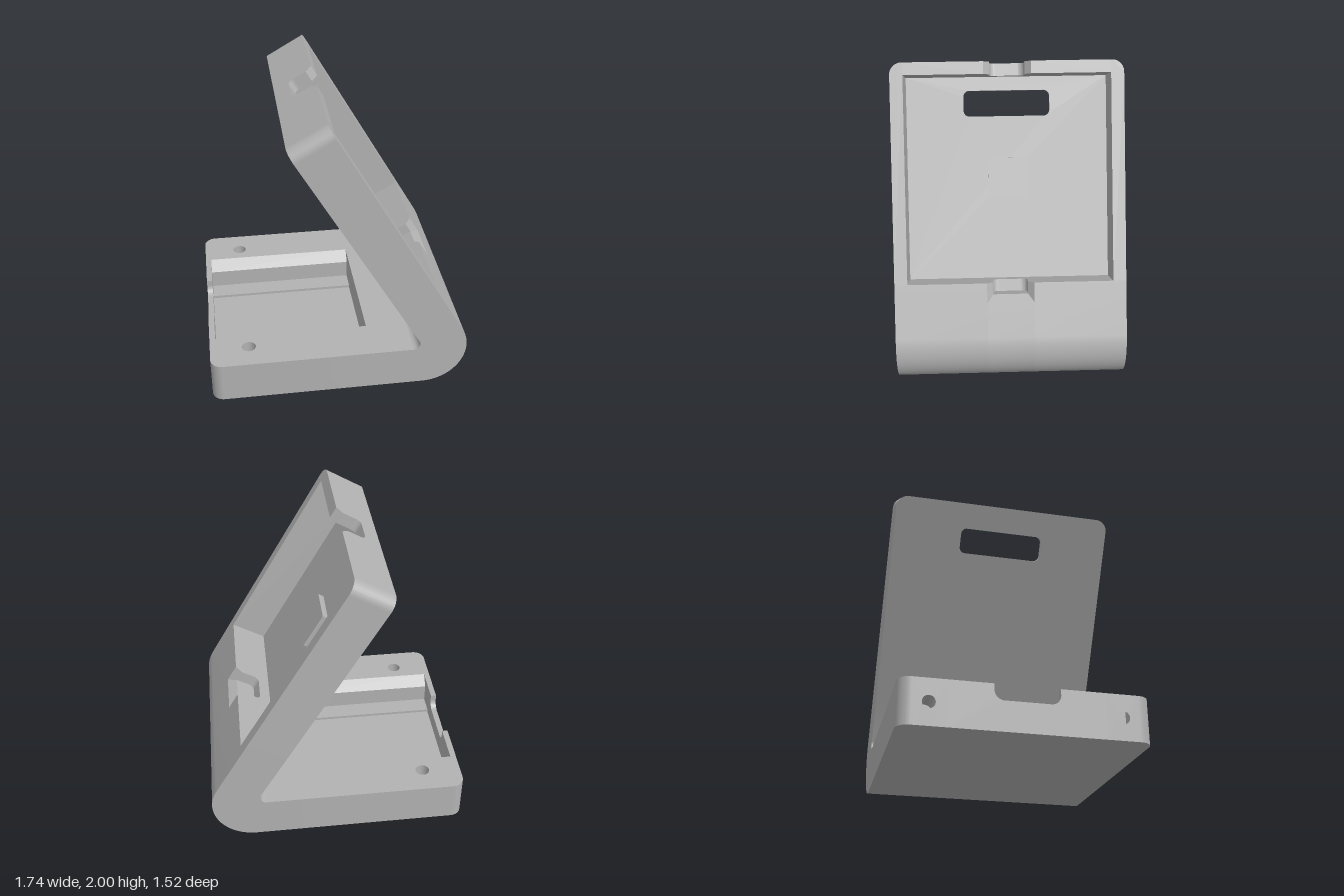
import * as THREE from 'three';
import { toCreasedNormals } from 'three/addons/utils/BufferGeometryUtils.js';

const T = 0.29;            // wall thickness of base and panel
const W = 0.76;            // half width
const BEND = [0.575, 0.29];// centre of the bend
const S0 = 0.364, S1 = 1.726, S2 = 1.808; // panel pocket bottom, pocket top, panel top
const PZ = 0.675;          // half width of the panel pocket

const grey = new THREE.MeshStandardMaterial({ color: 0xb2b2b2 });
grey.name = 'grey plastic';
const greyThin = grey.clone();
greyThin.side = THREE.DoubleSide;

function add(parent, name, geometry, material = grey) {
  const mesh = new THREE.Mesh(geometry, material);
  mesh.name = name;
  parent.add(mesh);
  return mesh;
}
const poly = (pts) => new THREE.Shape(pts.map((p) => new THREE.Vector2(...p)));
function extrude(shape, depth) {
  const g = new THREE.ExtrudeGeometry(shape, { depth, bevelEnabled: false, curveSegments: 16 });
  return toCreasedNormals(g, 0.5);
}
function circleHole(shape, x, y, r) {
  shape.holes.push(new THREE.Path().absarc(x, y, r, 0, Math.PI * 2, true));
}
// extrusion along x of a (z, y) shape, and along y of an (x, z) shape
const alongX = (shape, x0, x1) => extrude(shape, x1 - x0).rotateY(Math.PI / 2).translate(x0, 0, 0);
const alongY = (shape, y0, y1) => extrude(shape, y1 - y0).rotateX(-Math.PI / 2).translate(0, y0, 0);

// point on the panel: s up the slope, v outward from its inner face
const C = Math.cos(Math.PI / 6);
const onPanel = (s, v) => [BEND[0] - 0.5 * s + C * v, BEND[1] + C * s + 0.5 * v];

// side profile of the bend, closed at the panel end by the given points
function bendShape(endPoints) {
  const s = new THREE.Shape();
  s.moveTo(0.3, 0);
  s.lineTo(BEND[0], 0);
  s.absarc(BEND[0], BEND[1], T, -Math.PI / 2, Math.PI / 6, false);
  endPoints.forEach(([a, v]) => s.lineTo(...onPanel(a, v)));
  s.lineTo(...onPanel(0.078, 0));
  s.absarc(0.497, 0.335, 0.045, Math.PI / 6, -Math.PI / 2, true);
  s.lineTo(0.3, T);
  return s;
}

// block with a flared, round-bottomed cable notch; shape in (width, v)
function notchShape(w) {
  const s = poly([[-w, 0], [w, 0], [w, T], [0.155, T], [0.115, 0.245], [0.115, 0.15]]);
  s.absarc(0.075, 0.15, 0.04, 0, -Math.PI / 2, true);
  s.lineTo(-0.075, 0.11);
  s.absarc(-0.075, 0.15, 0.04, -Math.PI / 2, -Math.PI, true);
  s.lineTo(-0.115, 0.245);
  s.lineTo(-0.155, T);
  s.lineTo(-w, T);
  return s;
}
const notchBlock = (w, sLow, sHigh) =>
  extrude(notchShape(w), sHigh - sLow).rotateX(Math.PI / 2).translate(0, sHigh, 0);

function buildBase() {
  const base = new THREE.Group();
  base.name = 'base';

  // frame around the tray, with rounded front corners and screw holes
  const f = new THREE.Shape();
  f.moveTo(0.3, -W);
  f.lineTo(0.3, W);
  f.lineTo(-0.79, W);
  f.absarc(-0.79, 0.68, 0.08, Math.PI / 2, Math.PI, false);
  [[-0.87, 0.66], [-0.7, 0.66], [-0.7, 0.47], [0.22, 0.47],
    [0.22, -0.47], [-0.7, -0.47], [-0.7, -0.66], [-0.87, -0.66]].forEach((p) => f.lineTo(...p));
  f.lineTo(-0.87, -0.68);
  f.absarc(-0.79, -0.68, 0.08, Math.PI, Math.PI * 1.5, false);
  for (const k of [-1, 1]) circleHole(f, -0.605, 0.58 * k, 0.047);
  add(base, 'baseFrame', alongY(f, 0, T));

  for (const k of [-1, 1]) {
    add(base, 'screwHoleFloor', new THREE.CylinderGeometry(0.047, 0.047, 0.19, 32).translate(-0.605, 0.095, 0.58 * k));
    // front block with a hole in its face
    const b = poly([[0.47 * k, 0], [0.66 * k, 0], [0.66 * k, T], [0.47 * k, T]]);
    circleHole(b, 0.58 * k, 0.145, 0.04);
    add(base, 'frontBlock', alongX(b, -0.87, -0.7));
    add(base, 'frontHoleFloor', new THREE.BoxGeometry(0.01, 0.1, 0.1).translate(-0.705, 0.145, 0.58 * k));
  }

  // tray floor with ledges and sloped edges
  const right = [[0.27, 0.07], [0.27, 0.09], [0.4, 0.09], [0.4, 0.22], [0.47, T], [0.47, 0]];
  const left = right.map(([z, y]) => [-z, y]).reverse();
  add(base, 'trayFloor', alongX(poly([...right, ...left]), -0.83, 0.22));

  // thin front wall with a rounded dip
  const w = poly([[-0.47, 0], [0.47, 0], [0.47, T], [0.2, T], [0.2, 0.25]]);
  w.absarc(0.14, 0.25, 0.06, 0, -Math.PI / 2, true);
  w.lineTo(-0.14, 0.19);
  w.absarc(-0.14, 0.25, 0.06, -Math.PI / 2, -Math.PI, true);
  w.lineTo(-0.2, T);
  w.lineTo(-0.47, T);
  add(base, 'frontWall', alongX(w, -0.87, -0.83));
  return base;
}

function buildBend() {
  const bend = new THREE.Group();
  bend.name = 'bend';
  const full = bendShape([[S0, T], [S0, 0]]);
  for (const z of [-W, 0.155]) add(bend, 'bendSide', extrude(full, W - 0.155).translate(0, 0, z));
  const cut = bendShape([[0.232, T], [0.284, 0.245], [0.284, 0]]);
  add(bend, 'bendMiddle', extrude(cut, 0.31).translate(0, 0, -0.155));
  return bend;
}

function buildPanel() {
  const panel = new THREE.Group();
  panel.name = 'panel';
  // local x = width, y = up the slope, z = outward
  const m = new THREE.Matrix4().makeBasis(
    new THREE.Vector3(0, 0, -1), new THREE.Vector3(-0.5, C, 0), new THREE.Vector3(C, 0.5, 0));
  panel.quaternion.setFromRotationMatrix(m);
  panel.position.set(BEND[0], BEND[1], 0);

  // side rails with rounded top corners
  for (const k of [-1, 1]) {
    const r = new THREE.Shape();
    r.moveTo(PZ * k, S0);
    r.lineTo(W * k, S0);
    r.lineTo(W * k, S2 - 0.08);
    r.absarc((W - 0.08) * k, S2 - 0.08, 0.08, k > 0 ? 0 : Math.PI, Math.PI / 2, k < 0);
    r.lineTo(PZ * k, S2);
    add(panel, 'sideRail', extrude(r, T));
  }

  // thin back plate with a rounded slot
  const p = poly([[-PZ, S0], [PZ, S0], [PZ, S1], [-PZ, S1]]);
  const a = 0.29, b0 = 1.461, b1 = 1.634, r = 0.04, q = Math.PI / 2;
  const slot = new THREE.Path();
  slot.absarc(a - r, b0 + r, r, -q, 0, false);
  slot.absarc(a - r, b1 - r, r, 0, q, false);
  slot.absarc(r - a, b1 - r, r, q, 2 * q, false);
  slot.absarc(r - a, b0 + r, r, 2 * q, 3 * q, false);
  slot.closePath();
  p.holes.push(slot);
  add(panel, 'backPlate', extrude(p, 0.03));

  add(panel, 'raisedPad', new THREE.BoxGeometry(0.264, 0.265, 0.05).translate(0, 1.05, 0.045));
  add(panel, 'topRim', notchBlock(PZ, S1, S2));
  add(panel, 'lowerNotch', notchBlock(0.16, 0.284, S0));

  // corner facets of the lower notch flare
  for (const k of [-1, 1]) {
    const g = new THREE.BufferGeometry().setFromPoints([
      new THREE.Vector3(0.115 * k, 0.284, 0.245),
      new THREE.Vector3(0.155 * k, 0.232, T),
      new THREE.Vector3(0.155 * k, 0.284, T)]);
    g.setIndex(k > 0 ? [0, 1, 2] : [0, 2, 1]);
    g.computeVertexNormals();
    add(panel, 'notchCorner', g, greyThin);
  }
  return panel;
}

export function createModel() {
  const model = new THREE.Group();
  model.name = 'angledStand';
  model.add(buildBase(), buildBend(), buildPanel());
  return model;
}
